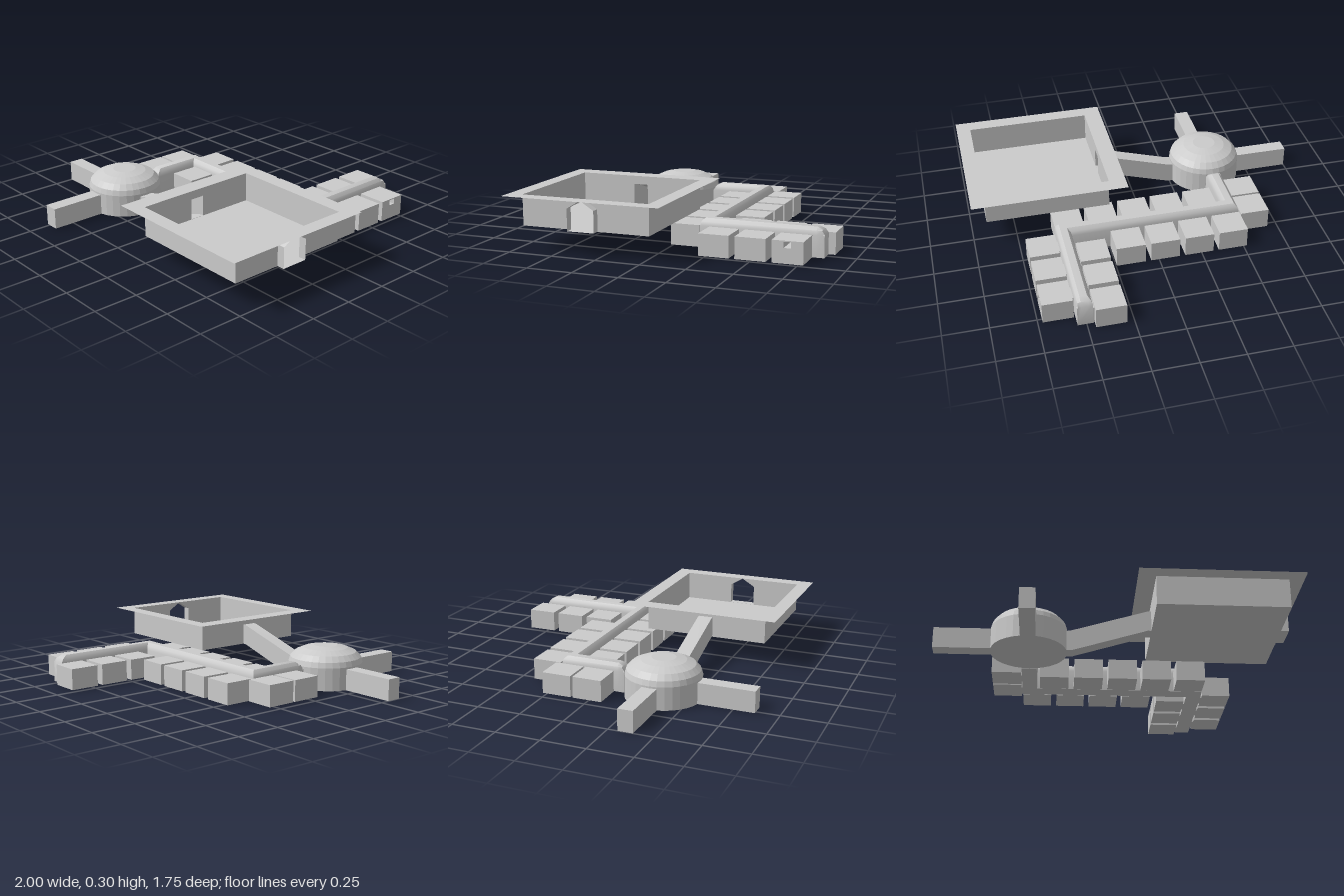
import * as THREE from 'three';
import { toCreasedNormals } from 'three/addons/utils/BufferGeometryUtils.js';

const solid = new THREE.MeshStandardMaterial({ color: 0xcccccc, flatShading: true });
const thin = new THREE.MeshStandardMaterial({ color: 0xcccccc, side: THREE.DoubleSide });

function add(parent, name, geometry, material = solid) {
  const mesh = new THREE.Mesh(geometry, material);
  mesh.name = name;
  parent.add(mesh);
  return mesh;
}

// Box given by its extents
function block(parent, name, x0, x1, y0, y1, z0, z1) {
  const mesh = add(parent, name, new THREE.BoxGeometry(x1 - x0, y1 - y0, z1 - z0));
  mesh.position.set((x0 + x1) / 2, (y0 + y1) / 2, (z0 + z1) / 2);
}

// Skin through rings of [x, y, z] points, optionally closed at both ends
function loft(rings, capped = false) {
  const n = rings[0].length;
  const index = [];
  for (let r = 0; r < rings.length - 1; r++) {
    for (let i = 0; i < n; i++) {
      const a = r * n + i, b = r * n + (i + 1) % n;
      index.push(a, b, b + n, a, b + n, a + n);
    }
  }
  if (capped) {
    const last = (rings.length - 1) * n;
    for (let i = 1; i < n - 1; i++) {
      index.push(0, i + 1, i, last, last + i, last + i + 1);
    }
  }
  const g = new THREE.BufferGeometry();
  g.setAttribute('position', new THREE.Float32BufferAttribute(rings.flat(2), 3));
  g.setIndex(index);
  return toCreasedNormals(g, 0.7);
}

const polygon = (pts) => pts.map(([x, y]) => new THREE.Vector2(x, y));
const rect = (x0, x1, y0, y1) => [[x0, y0], [x1, y0], [x1, y1], [x0, y1]];

// Flat sheet with an optional opening
function sheet(outline, hole) {
  const shape = new THREE.Shape(polygon(outline));
  if (hole) shape.holes.push(new THREE.Path(polygon(hole)));
  return new THREE.ShapeGeometry(shape);
}

function buildHub(root) {
  // Domed hall, stepped in flat bands
  const profile = polygon([[0, 0], [0.212, 0], [0.212, 0.13], [0.203, 0.16], [0.175, 0.19],
    [0.125, 0.212], [0.067, 0.224], [0, 0.224]]);
  add(root, 'domedHall', new THREE.LatheGeometry(profile, 32)).position.set(-0.477, 0, 0.345);
  // Straight passages
  block(root, 'sidePassage', -1, -0.66, 0, 0.12, 0.303, 0.387);
  block(root, 'frontPassage', -0.519, -0.435, 0, 0.12, 0.53, 0.87);
  // Hollow ramp rising to the tray
  const section = (x, y0, y1) => rect(0.303, 0.387, y0, y1).map(([z, y]) => [x, y, z]);
  add(root, 'ramp', loft([section(-0.28, 0, 0.115), section(-0.24, 0, 0.122),
    section(0.18, 0.13, 0.25), section(0.2, 0.13, 0.25)]), thin);
}

function buildTray(root) {
  const tray = new THREE.Group();
  tray.name = 'tray';
  root.add(tray);
  const [x0, x1, z0, z1, y0, y1] = [0.2, 0.918, -0.02, 0.707, 0.13, 0.298];
  const doorway = [[0.27, y0 + 0.001], [0.423, y0 + 0.001], [0.423, 0.25], [0.346, y1 - 0.001], [0.27, 0.25]];
  // Rim and floor lie flat
  add(tray, 'rim', sheet(rect(0.102, 1, -0.105, 0.79), rect(x0, x1, z0, z1))
    .rotateX(Math.PI / 2), thin).position.y = y1;
  add(tray, 'floor', sheet(rect(x0, x1, z0, z1)).rotateX(Math.PI / 2), thin).position.y = y0;
  // Front and back walls
  for (const z of [z0, z1]) {
    add(tray, 'wall', sheet(rect(x0, x1, y0, y1)), thin).position.z = z;
  }
  // Side walls with the ramp opening and the pointed doorway
  const side = rect(z0, z1, y0, y1);
  const rampHole = rect(0.303, 0.387, y0 + 0.001, 0.25);
  for (const [x, hole] of [[x0, rampHole], [x1, doorway]]) {
    add(tray, 'wallWithOpening', sheet(side, hole).rotateY(-Math.PI / 2), thin).position.x = x;
  }
  // Short porch outside the doorway
  const ring = (x) => doorway.map(([z, y]) => [x, y, z]);
  add(tray, 'porch', loft([ring(x1), ring(0.963)]), thin);
}

function buildTunnel(root) {
  // Rounded cross-section: offset to the side, height
  const half = [[0.043, 0], [0.043, 0.118], [0.037, 0.142], [0.02, 0.16]];
  const profile = [...half, ...half.map(([u, y]) => [-u, y]).reverse()];
  // Path points with the sideways direction (mitred at bends) and height limit
  const path = [
    [-0.477, 0.13, 1, 0, 0.12], [-0.477, 0.115, 1, 0, 0.145], [-0.477, 0.09, 1, 0, 0.16],
    [-0.477, -0.198, 1, 1, 0.16], [0.506, -0.198, 1, 1, 0.16],
    [0.506, -0.795, 1, 0, 0.16], [0.506, -0.825, 1, 0, 0.145], [0.506, -0.84, 1, 0, 0.12],
  ];
  const rings = path.map(([x, z, dx, dz, top]) =>
    profile.map(([u, y]) => [x + u * dx, Math.min(y, top), z + u * dz]));
  add(root, 'tunnel', loft(rings, true), thin);
}

function buildRooms(root) {
  const size = 0.167, height = 0.12;
  const room = (x, z) => block(root, 'room', x, x + size, 0, height, z, z + size);
  const link = (x0, x1, z0, z1) => block(root, 'doorLink', x0, x1, 0, 0.1, z0, z1);
  const a = 0.04, b = size - 0.04;

  // Rows along the long tunnel
  for (let i = 0; i < 4; i++) {
    const x = -0.519 + i * 0.199;
    room(x, -0.42);
    link(x + a, x + b, -0.26, -0.22);
  }
  for (let i = 0; i < 5; i++) {
    const x = -0.417 + i * 0.199;
    room(x, -0.151);
    link(x + a, x + b, -0.18, -0.14);
  }
  // Columns on both sides of the far tunnel
  for (let i = 0; i < 3; i++) {
    const zl = -0.877 + i * 0.199, zr = -0.776 + i * 0.199;
    room(0.29, zl);
    link(0.44, 0.48, zl + a, zl + b);
    link(0.53, 0.57, zr + a, zr + b);
    if (i > 0) room(0.557, zr);
  }
  // Pair beside the short tunnel
  for (const z of [-0.276, -0.095]) {
    room(-0.693, z);
    link(-0.54, -0.5, z + a, z + b);
  }
  // End room with a small window
  const shape = new THREE.Shape(polygon(rect(0, size, 0, height)));
  shape.holes.push(new THREE.Path(polygon(rect(0.063, 0.102, 0.082, 0.114))));
  const windowed = new THREE.ExtrudeGeometry(shape, { depth: size, bevelEnabled: false });
  windowed.rotateY(Math.PI / 2);
  add(root, 'windowRoom', windowed).position.set(0.557, 0, -0.776 + size);
}

export function createModel() {
  const root = new THREE.Group();
  root.name = 'compound';
  buildHub(root);
  buildTray(root);
  buildTunnel(root);
  buildRooms(root);
  return root;
}
